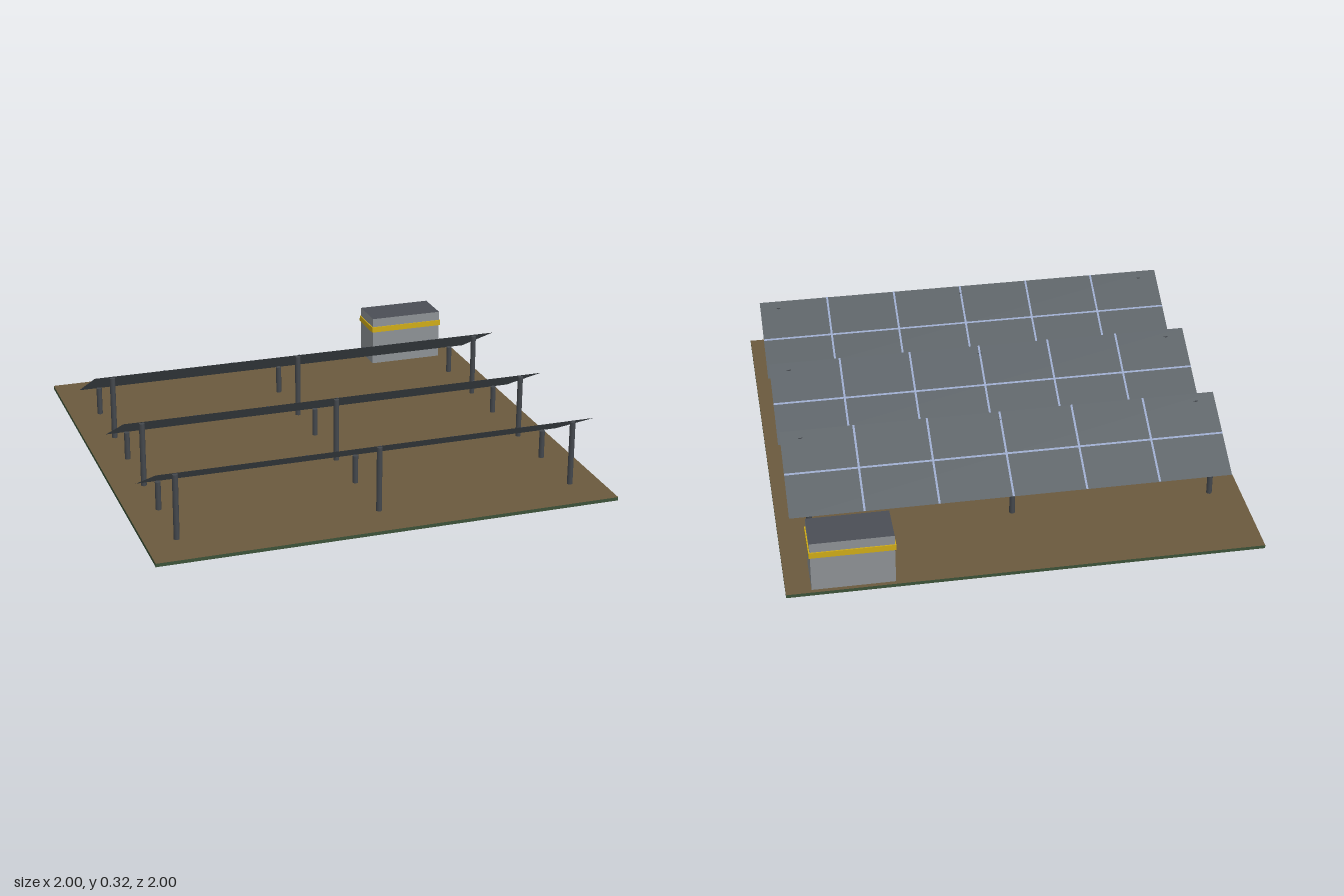
import * as THREE from 'three';

const material = (name, color, side = THREE.FrontSide) => {
  const m = new THREE.MeshStandardMaterial({ color, side });
  m.name = name;
  return m;
};

export function createModel() {
  const soil = material('brown soil', 0x6b5a3e);
  const grass = material('dark green edge', 0x3c5238);
  const glass = material('slate panel', 0x535a5f, THREE.DoubleSide);
  const line = material('pale blue grid', 0x93a2c4, THREE.DoubleSide);
  const steel = material('dark steel', 0x44484d);
  const wall = material('light grey wall', 0x8e9296);
  const roof = material('dark grey roof', 0x4b4e55);
  const yellow = material('yellow band', 0xd0ac18);

  const model = new THREE.Group();
  model.name = 'solarField';

  const add = (parent, name, geometry, mat, x, y, z) => {
    const mesh = new THREE.Mesh(geometry, mat);
    mesh.name = name;
    mesh.position.set(x, y, z);
    parent.add(mesh);
    return mesh;
  };

  // Ground slab: soil above and below, green rim
  const slab = 0.015;
  add(model, 'ground', new THREE.BoxGeometry(2, slab, 2),
    [grass, grass, soil, soil, grass, grass], 0, slab / 2, 0);

  // Panel row: a sheet rising towards the front, with grid lines and posts
  const width = 1.9, depth = 0.364, low = 0.125, high = 0.317;
  const slope = Math.hypot(depth, high - low);
  const tilt = Math.atan2(high - low, depth);

  const flat = (w, d) => new THREE.PlaneGeometry(w, d).rotateX(-Math.PI / 2);

  const post = (row, name, x, z, top) => add(row, name,
    new THREE.CylinderGeometry(0.0125, 0.0125, top - slab, 8),
    steel, x, (top + slab) / 2, z);

  const makeRow = (z) => {
    const row = new THREE.Group();
    row.name = 'panelRow';
    row.position.z = z;

    const table = new THREE.Group();
    table.name = 'panelTable';
    table.position.y = (low + high) / 2;
    table.rotation.x = -tilt;
    row.add(table);

    add(table, 'panelSheet', flat(width, slope), glass, 0, 0, 0);
    add(table, 'longGridLine', flat(width, 0.009), line, 0, 0.002, 0);
    for (let i = -2; i <= 2; i++) {
      add(table, 'crossGridLine', flat(0.009, slope), line, i * width / 6, 0.002, 0);
    }

    for (const x of [-0.865, 0, 0.865]) {
      post(row, 'frontPost', x, 0.156, 0.3);
      post(row, 'backPost', x, -0.142, 0.14);
    }
    return row;
  };
  for (const z of [-0.45, 0.1, 0.652]) model.add(makeRow(z));

  // Equipment cabinet in the back corner
  const cabinet = new THREE.Group();
  cabinet.name = 'cabinet';
  cabinet.position.set(0.722, 0, -0.895);
  model.add(cabinet);
  add(cabinet, 'cabinetBody', new THREE.BoxGeometry(0.345, 0.23, 0.175),
    [wall, wall, roof, wall, wall, wall], 0, slab + 0.115, 0);
  add(cabinet, 'cabinetBand', new THREE.BoxGeometry(0.355, 0.026, 0.185),
    yellow, 0, 0.19, 0);

  return model;
}
